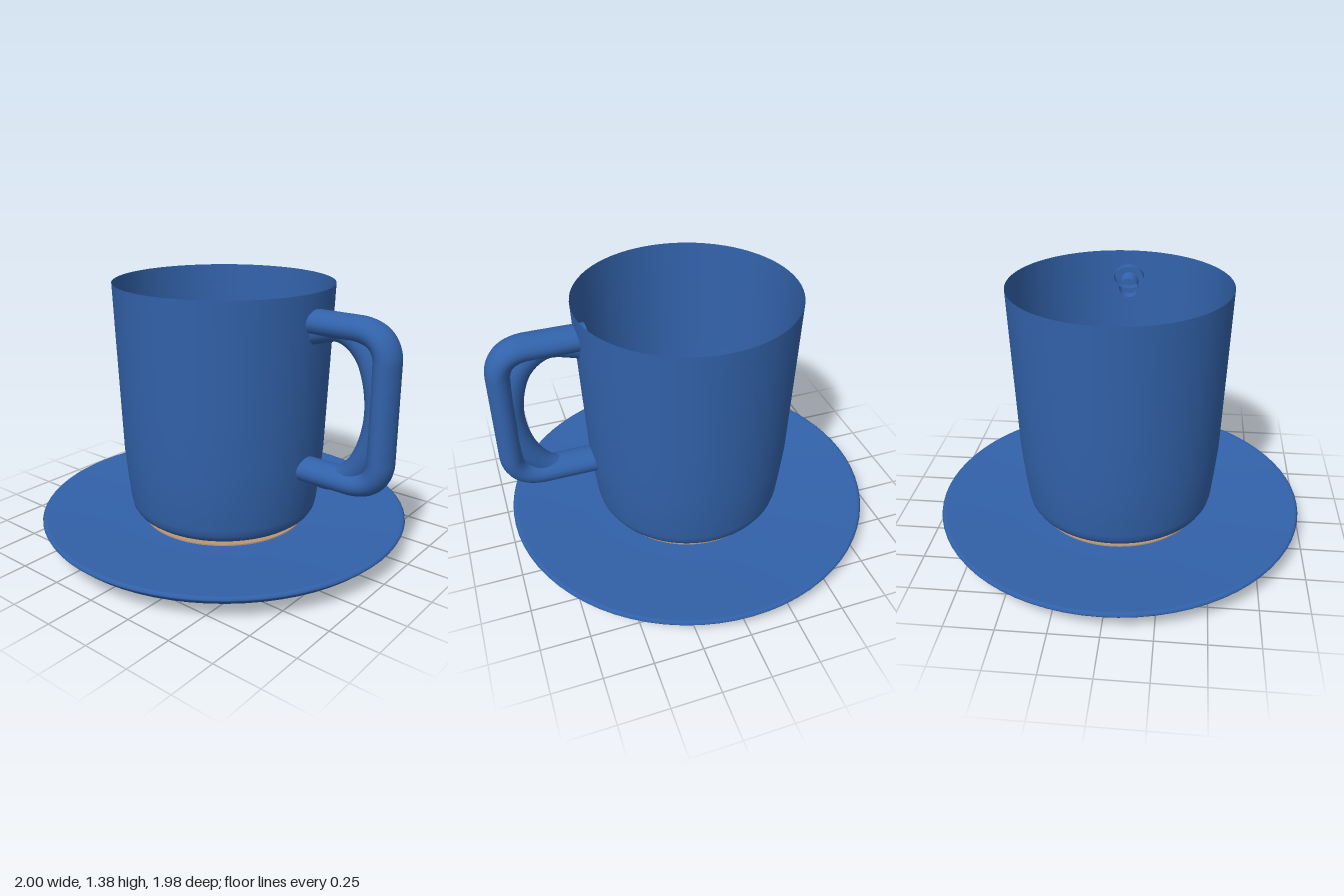
import * as THREE from 'three';

const glaze = new THREE.MeshStandardMaterial({ color: 0x3262aa, side: THREE.DoubleSide });
glaze.name = 'blue glaze';
const clay = new THREE.MeshStandardMaterial({ color: 0xb89676 });
clay.name = 'bare clay';

const lathe = (profile) =>
  new THREE.LatheGeometry(profile.map(([r, y]) => new THREE.Vector2(r, y)), 72);

function addMesh(parent, name, geometry, material) {
  const mesh = new THREE.Mesh(geometry, material);
  mesh.name = name;
  parent.add(mesh);
  return mesh;
}

// Outer handle path: straight bars joined by rounded corners
function barPath() {
  const p = (x, y) => new THREE.Vector3(x, y, 0);
  const path = new THREE.CurvePath();
  path.add(new THREE.LineCurve3(p(0.5, 1.24), p(0.79, 1.24)));
  path.add(new THREE.QuadraticBezierCurve3(p(0.79, 1.24), p(0.92, 1.235), p(0.938, 1.12)));
  path.add(new THREE.LineCurve3(p(0.938, 1.12), p(0.938, 0.6)));
  path.add(new THREE.QuadraticBezierCurve3(p(0.938, 0.6), p(0.92, 0.49), p(0.79, 0.485)));
  path.add(new THREE.LineCurve3(p(0.79, 0.485), p(0.5, 0.485)));
  return path;
}

export function createModel() {
  const model = new THREE.Group();
  model.name = 'cupAndSaucer';

  // Saucer: flat foot, flared underside, thin rim and shallow dished top
  const saucer = lathe([
    [0, 0], [0.48, 0], [0.5, 0.006], [0.57, 0.025], [0.94, 0.085], [0.955, 0.092],
    [0.985, 0.12], [0.99, 0.13], [0.98, 0.14], [0.965, 0.139],
    [0.8, 0.125], [0.6, 0.11], [0.46, 0.103], [0, 0.1],
  ]);
  addMesh(model, 'saucer', saucer, glaze).position.x = -0.01;

  // Unglazed disc in the middle of the saucer
  const disc = addMesh(model, 'saucerCentre', new THREE.CylinderGeometry(0.445, 0.445, 0.008, 72), clay);
  disc.position.set(-0.01, 0.106, 0);

  // Thin cup wall with a rounded lower edge and open base
  const cup = lathe([
    [0.445, 0.137], [0.465, 0.14], [0.485, 0.155], [0.5, 0.18], [0.508, 0.215],
    [0.522, 0.34], [0.537, 0.5], [0.548, 0.8], [0.559, 1.1], [0.569, 1.38],
  ]);
  addMesh(model, 'cup', cup, glaze).position.x = -0.01;

  // Handle: a wide bar outside with a slim curved rib inside it
  const handle = new THREE.Group();
  handle.name = 'handle';
  model.add(handle);
  const bar = new THREE.TubeGeometry(barPath(), 80, 0.062, 20);
  bar.scale(1, 1, 1.33);
  addMesh(handle, 'handleBar', bar, glaze);

  const ribPoints = [
    [0.5, 1.18], [0.7, 1.22], [0.83, 1.13], [0.9, 0.9],
    [0.87, 0.68], [0.78, 0.53], [0.66, 0.472], [0.5, 0.49],
  ].map(([x, y]) => new THREE.Vector3(x, y, 0));
  const rib = new THREE.TubeGeometry(new THREE.CatmullRomCurve3(ribPoints), 60, 0.06, 16);
  rib.scale(1, 1, 0.9);
  addMesh(handle, 'handleRib', rib, glaze);

  return model;
}
